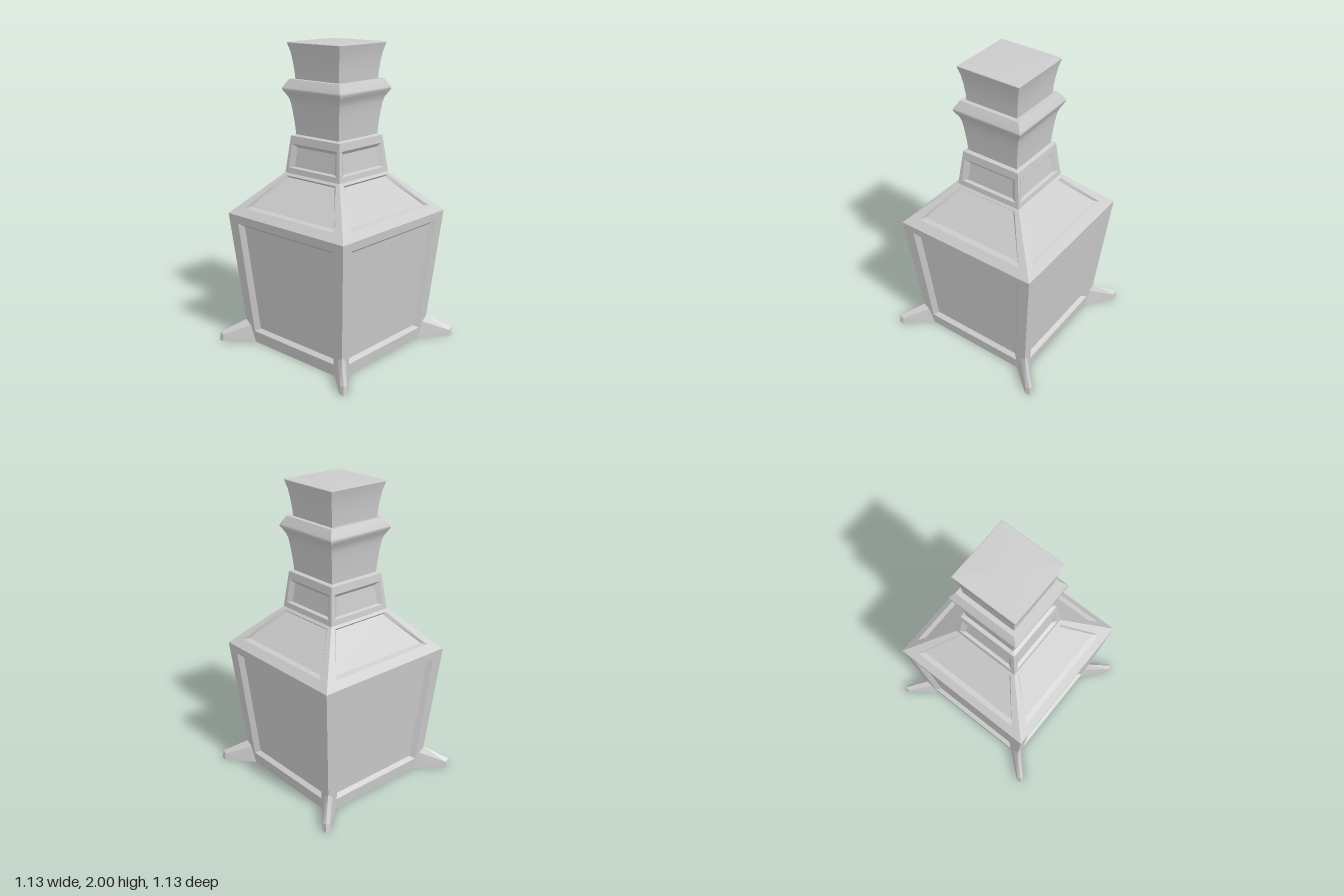
import * as THREE from 'three';
import { ConvexGeometry } from 'three/addons/geometries/ConvexGeometry.js';

const material = new THREE.MeshStandardMaterial({ color: 0xcccccc });

// Puts the same front-facing geometry on all four sides
function fourSides(name, geometry) {
  const group = new THREE.Group();
  group.name = name;
  for (let i = 0; i < 4; i++) {
    const mesh = new THREE.Mesh(geometry, material);
    mesh.name = name + 'Side';
    mesh.rotation.y = i * Math.PI / 2;
    group.add(mesh);
  }
  return group;
}

// One side of a square-section form; profile rows are [halfWidth, y].
// Smooth along the profile, sharp at the corners.
function profileSide(profile) {
  const pos = [], index = [];
  profile.forEach(([w, y], i) => {
    pos.push(-w, y, w, w, y, w);
    if (i > 0) {
      const a = 2 * i - 2;
      index.push(a, a + 1, a + 3, a, a + 3, a + 2);
    }
  });
  const g = new THREE.BufferGeometry();
  g.setAttribute('position', new THREE.Float32BufferAttribute(pos, 3));
  g.setIndex(index);
  g.computeVertexNormals();
  return g;
}

// One sloping wall with a bevelled, sunken panel.
// Each rectangle is [bottomY, bottomHalfWidth, topY, topHalfWidth].
function panelSide(wall, opening, floor, depth) {
  const [y0, w0, y1, w1] = wall;
  const wallZ = y => w0 + (w1 - w0) * (y - y0) / (y1 - y0);
  const ring = ([ya, wa, yb, wb], d) => [
    [-wa, ya, wallZ(ya) - d], [wa, ya, wallZ(ya) - d],
    [wb, yb, wallZ(yb) - d], [-wb, yb, wallZ(yb) - d],
  ];
  const rings = [ring(wall, 0), ring(opening, 0), ring(floor, depth)];
  const pos = [];
  const quad = (a, b, c, d) => pos.push(...a, ...b, ...c, ...a, ...c, ...d);
  for (let k = 0; k < 2; k++) {
    for (let i = 0; i < 4; i++) {
      const j = (i + 1) % 4;
      quad(rings[k][i], rings[k][j], rings[k + 1][j], rings[k + 1][i]);
    }
  }
  quad(...rings[2]);
  const g = new THREE.BufferGeometry();
  g.setAttribute('position', new THREE.Float32BufferAttribute(pos, 3));
  g.computeVertexNormals();
  return g;
}

// Splayed corner foot, mirrored about the diagonal
function footGeometry() {
  const half = [
    [0.36, 0, 0.42], [0.395, 0.115, 0.43],
    [0.53, 0, 0.566], [0.53, 0.045, 0.56],
  ];
  const points = [
    [0.36, 0, 0.36], [0.434, 0.15, 0.434],
    [0.558, 0.06, 0.558], [0.566, 0, 0.566],
  ];
  half.forEach(([x, y, z]) => points.push([x, y, z], [z, y, x]));
  return new ConvexGeometry(points.map(p => new THREE.Vector3(...p)));
}

export function createModel() {
  const model = new THREE.Group();
  model.name = 'squareBottle';

  // Panelled glass body, shoulder and lower neck
  model.add(fourSides('body', panelSide(
    [0, 0.42, 0.9, 0.5], [0.08, 0.36, 0.845, 0.415], [0.1, 0.33, 0.822, 0.385], 0.03)));
  model.add(fourSides('shoulder', panelSide(
    [0.9, 0.5, 1.17, 0.235], [0.945, 0.39, 1.155, 0.215], [0.953, 0.362, 1.142, 0.197], 0.025)));
  model.add(fourSides('lowerNeck', panelSide(
    [1.17, 0.235, 1.41, 0.207], [1.205, 0.205, 1.36, 0.192], [1.212, 0.172, 1.337, 0.16], 0.02)));

  // Flared neck with its collar
  model.add(fourSides('neckLedge', profileSide([[0.207, 1.41], [0.183, 1.418]])));
  model.add(fourSides('neck', profileSide([
    [0.183, 1.415], [0.189, 1.49], [0.198, 1.57], [0.206, 1.625], [0.215, 1.655],
    [0.23, 1.682], [0.244, 1.705], [0.242, 1.718], [0.212, 1.77],
  ])));
  model.add(fourSides('collarTop', profileSide([[0.212, 1.77], [0.18, 1.77]])));

  // Stopper
  model.add(fourSides('stopper', profileSide([
    [0.183, 1.765], [0.187, 1.82], [0.194, 1.88], [0.204, 1.94], [0.219, 1.994],
  ])));
  model.add(fourSides('stopperTop', profileSide([[0.219, 1.994], [0.214, 2], [0, 2]])));

  // Recessed underside
  model.add(fourSides('undersideRim', profileSide([[0.36, 0], [0.42, 0]])));
  model.add(fourSides('underside', profileSide([
    [0, 0.045], [0.17, 0.038], [0.34, 0.015], [0.36, 0],
  ])));

  // Corner feet
  const feet = fourSides('foot', footGeometry());
  feet.name = 'feet';
  model.add(feet);
  return model;
}
